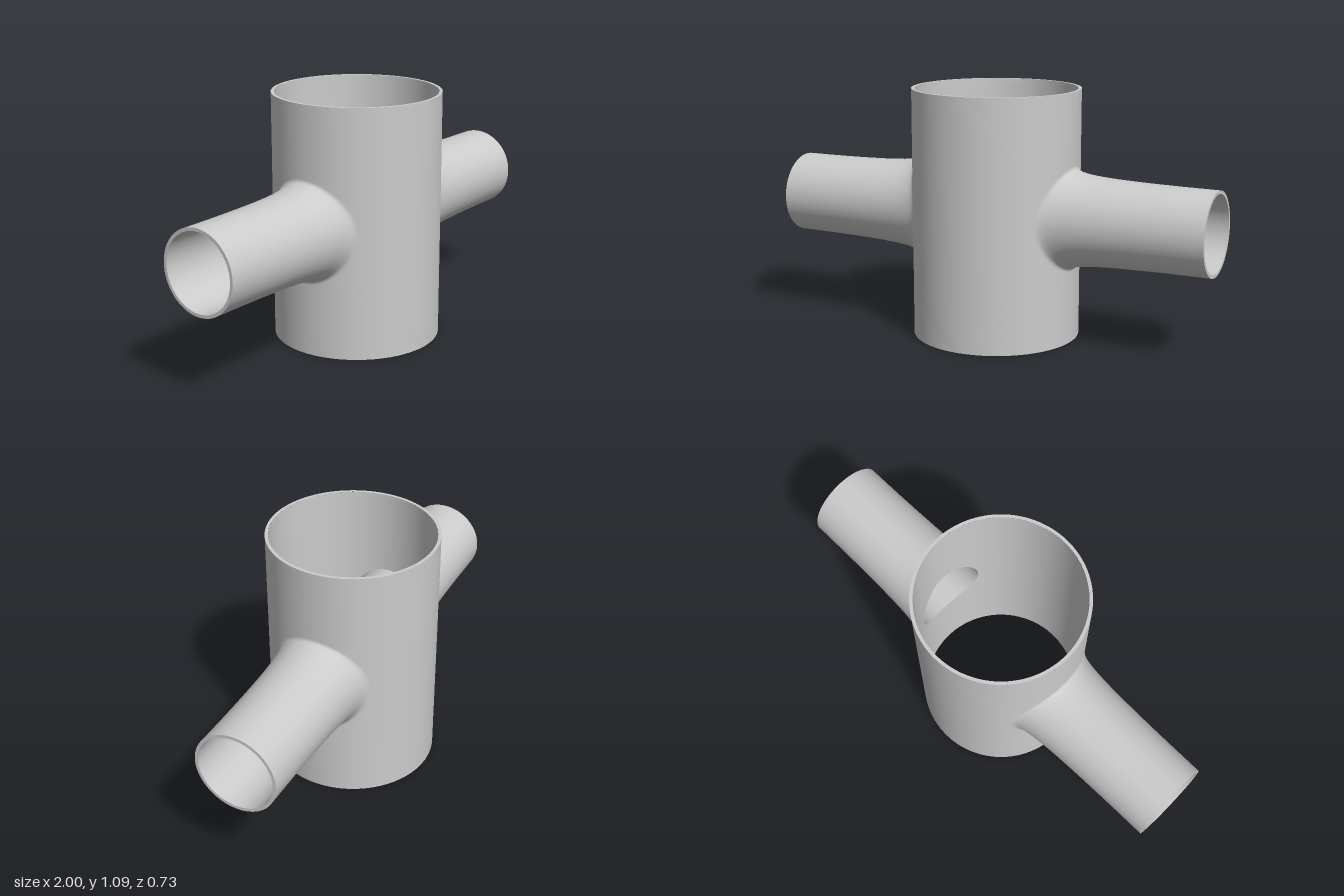
import * as THREE from 'three';
import { mergeGeometries, mergeVertices } from 'three/addons/utils/BufferGeometryUtils.js';

const HEIGHT = 1.09, MID = HEIGHT / 2;
const R_OUT = 0.367, R_IN = 0.353;      // main pipe radii
const B_OUT = 0.18, B_IN = 0.166;       // branch radii
const SEG = 160, WALL_ROWS = 20;

// Smooth sheet swept around the branch axis; each row is a function of the angle.
// The +x half is copied by a half turn and welded to its twin.
function sheet(rows, inward = false) {
  const pos = [], index = [];
  rows.forEach((row, i) => {
    for (let j = 0; j <= SEG; j++) {
      pos.push(...row((j / SEG) * Math.PI * 2));
      if (i === rows.length - 1 || j === SEG) continue;
      const a = i * (SEG + 1) + j, b = a + 1, c = a + SEG + 1, d = c + 1;
      if (inward) index.push(a, c, b, b, c, d);
      else index.push(a, b, c, b, d, c);
    }
  });
  const half = new THREE.BufferGeometry();
  half.setAttribute('position', new THREE.Float32BufferAttribute(pos, 3));
  half.setIndex(index);
  const geo = mergeVertices(mergeGeometries([half, half.clone().rotateY(Math.PI)]), 1e-4);
  geo.computeVertexNormals();
  return geo;
}

// Branch row: s = 0 on the main wall, s = 1 at the open end
const branchRow = (R, s, r) => (phi) => {
  const z = r * Math.cos(phi);
  const wallX = Math.sqrt(R * R - z * z);
  return [wallX + (1 - wallX) * s, MID + r * Math.sin(phi), z];
};

// Wall row: t = 0 on the round opening, t = 1 on the border of the half cylinder
const wallRow = (R, hole, t) => (phi) => {
  const c = Math.cos(phi), s = Math.sin(phi), m = Math.max(Math.abs(c), Math.abs(s));
  const theta = THREE.MathUtils.lerp(Math.asin((hole * c) / R), (c / m) * Math.PI / 2, t);
  const y = THREE.MathUtils.lerp(hole * s, (s / m) * MID, t);
  return [R * Math.cos(theta), MID + y, R * Math.sin(theta)];
};

const wallRows = (R, hole, first) => {
  const rows = [];
  for (let i = first; i <= WALL_ROWS; i++) rows.push(wallRow(R, hole, Math.pow(i / WALL_ROWS, 1.3)));
  return rows;
};

export function createModel() {
  const group = new THREE.Group();
  const material = new THREE.MeshStandardMaterial({ color: 0xcccccc });
  const add = (name, geometry) => {
    const mesh = new THREE.Mesh(geometry, material);
    mesh.name = name;
    group.add(mesh);
    return mesh;
  };

  // Outer skin: branches flare softly into the main pipe
  const flare = new THREE.CatmullRomCurve3([
    [1, B_OUT], [0.7, 0.181], [0.45, 0.184], [0.25, 0.189], [0.12, 0.196],
    [0.055, 0.203], [0.02, 0.21], [0.005, 0.217], [0, 0.225],
  ].map(([s, r]) => new THREE.Vector3(s, r, 0)), false, 'centripetal');
  const branchRows = flare.getPoints(32).map((p) => branchRow(R_OUT, Math.max(p.x, 0), p.y));
  add('outerSkin', sheet([...branchRows, ...wallRows(R_OUT, 0.225, 1)]));

  // Inner faces: straight bores meeting the main lining at a sharp edge
  const boreRows = [1, 0.75, 0.5, 0.25, 0].map((s) => branchRow(R_IN, s, B_IN));
  add('branchBores', sheet(boreRows, true));
  add('mainLining', sheet(wallRows(R_IN, B_IN, 0), true));

  // Flat rims at the four open ends
  for (const side of [1, -1]) {
    const mainRim = add(side > 0 ? 'topRim' : 'bottomRim', new THREE.RingGeometry(R_IN, R_OUT, SEG));
    mainRim.rotation.x = -side * Math.PI / 2;
    mainRim.position.y = side > 0 ? HEIGHT : 0;

    const branchRim = add(side > 0 ? 'leftBranchRim' : 'rightBranchRim', new THREE.RingGeometry(B_IN, B_OUT, SEG));
    branchRim.rotation.y = side * Math.PI / 2;
    branchRim.position.set(side, MID, 0);
  }
  return group;
}
